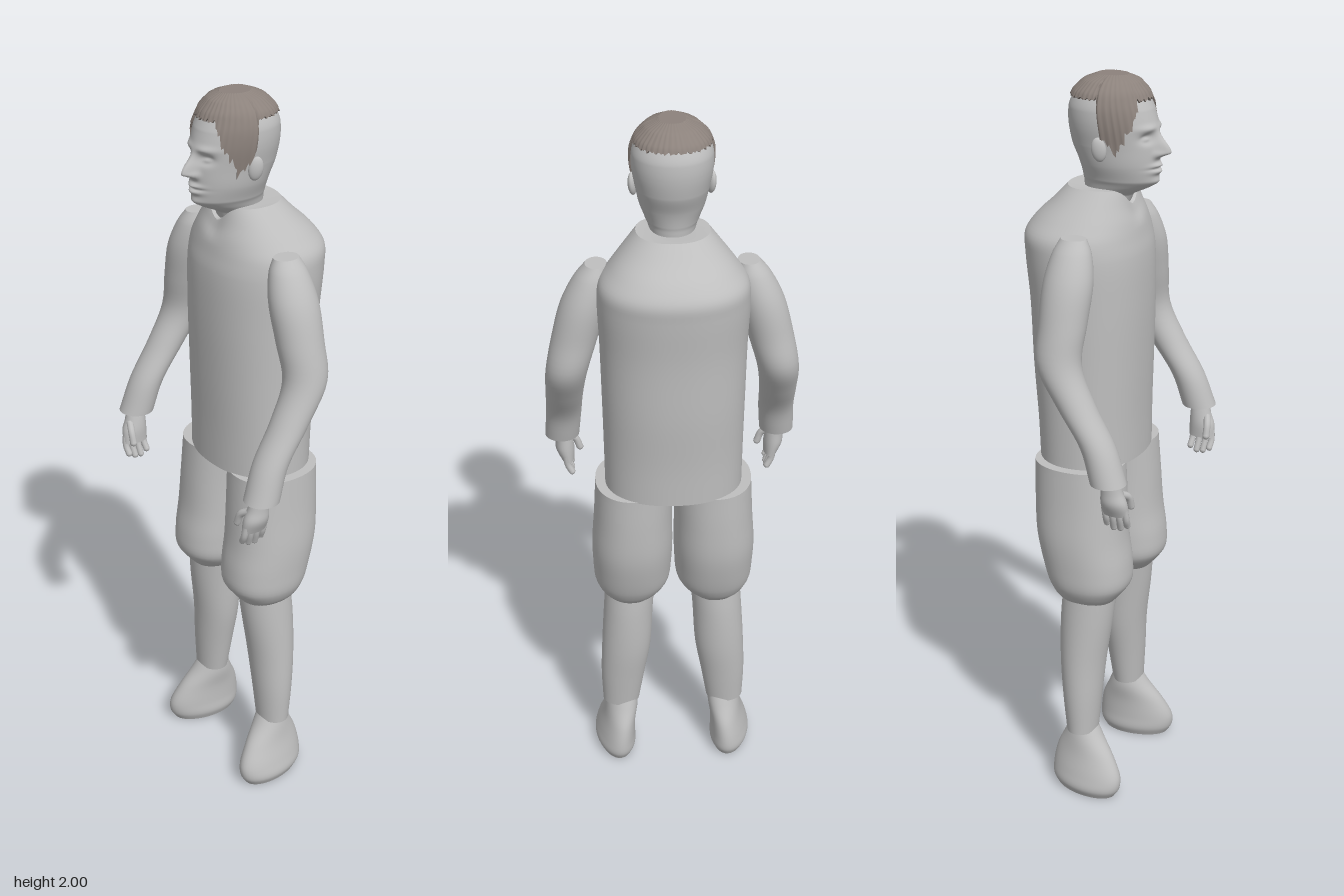
import * as THREE from 'three';

const grey = new THREE.MeshStandardMaterial({ color: 0xbfbfbf });
grey.name = 'plain grey';
const brown = new THREE.MeshStandardMaterial({ color: 0x8c827c, side: THREE.DoubleSide });
brown.name = 'hair brown';

// Joins rings of points (listed from bottom to top) into a smooth skin, with flat caps
function skin(rings, capped = true) {
  const n = rings[0].length, pos = [], index = [];
  rings.forEach(r => r.forEach(p => pos.push(p.x, p.y, p.z)));
  for (let i = 0; i < rings.length - 1; i++) {
    for (let j = 0; j < n; j++) {
      const a = i * n + j, b = i * n + (j + 1) % n;
      index.push(a, b, b + n, a, b + n, a + n);
    }
  }
  if (capped) {
    for (const [ring, up] of [[rings[0], false], [rings[rings.length - 1], true]]) {
      const start = pos.length / 3, c = new THREE.Vector3();
      ring.forEach(p => { pos.push(p.x, p.y, p.z); c.addScaledVector(p, 1 / n); });
      pos.push(c.x, c.y, c.z);
      for (let j = 0; j < n; j++) {
        const a = start + j, b = start + (j + 1) % n;
        index.push(start + n, up ? a : b, up ? b : a);
      }
    }
  }
  const g = new THREE.BufferGeometry();
  g.setAttribute('position', new THREE.Float32BufferAttribute(pos, 3));
  g.setIndex(index);
  g.computeVertexNormals();
  return g;
}

// Level sections [x, y, z, half width, half depth], smoothed along the part
function loft(rows, { side = 1, power = 2, rule = null, segments = 40 } = {}) {
  const list = rows[0][1] > rows[rows.length - 1][1] ? [...rows].reverse() : rows;
  const centre = new THREE.CatmullRomCurve3(list.map(r => new THREE.Vector3(r[0] * side, r[1], r[2])));
  const size = new THREE.CatmullRomCurve3(list.map(r => new THREE.Vector3(r[3], r[1], r[4])));
  const steps = (list.length - 1) * 5, rings = [];
  const round = v => Math.sign(v) * Math.abs(v) ** (2 / power);
  for (let i = 0; i <= steps; i++) {
    const c = centre.getPoint(i / steps), s = size.getPoint(i / steps), ring = [];
    for (let j = 0; j < segments; j++) {
      const a = j / segments * Math.PI * 2;
      const p = new THREE.Vector3(c.x + s.x * round(Math.sin(a)), c.y, c.z + s.z * round(Math.cos(a)));
      if (rule) rule(p);
      ring.push(p);
    }
    rings.push(ring);
  }
  return skin(rings);
}

function add(parent, name, geometry, material = grey) {
  const m = new THREE.Mesh(geometry, material);
  m.name = name;
  parent.add(m);
  return m;
}

// Head sections: height, half width, back, front
const headRows = [
  [1.66, .055, -.05, .06], [1.70, .055, -.052, .078], [1.722, .06, -.053, .122],
  [1.74, .068, -.055, .143], [1.78, .082, -.063, .146], [1.83, .092, -.083, .145],
  [1.88, .1, -.091, .141], [1.92, .1, -.09, .13], [1.96, .086, -.073, .11],
  [1.983, .06, -.047, .087], [1.995, .025, -.01, .055],
];
const headCurve = new THREE.CatmullRomCurve3(headRows.map(r => new THREE.Vector3(r[1], r[2], r[3])));

function headPoint(y, a, grow = 0) {
  let i = 0;
  while (i < headRows.length - 2 && y > headRows[i + 1][0]) i++;
  const t = (y - headRows[i][0]) / (headRows[i + 1][0] - headRows[i][0]);
  const s = headCurve.getPoint((i + t) / (headRows.length - 1));
  const c = Math.cos(a), mid = (s.y + s.z) / 2, half = (s.z - s.y) / 2 + grow;
  return new THREE.Vector3((s.x + grow) * Math.sin(a) * (1 - .12 * c), y, mid + half * c);
}

// Nose, brow, eye sockets, eyes and lips as soft bumps on the face
const bell = (v, c, w) => Math.exp(-(((v - c) / w) ** 2));
function sculptFace(p) {
  const x = Math.abs(p.x), y = p.y;
  p.z += .036 * bell(x, 0, .013) * bell(y, 1.816, y > 1.816 ? .036 : .012);
  p.z += .008 * bell(x, .015, .008) * bell(y, 1.81, .009);
  p.z += .006 * bell(x, .034, .026) * bell(y, 1.876, .009);
  p.z -= .014 * bell(x, .034, .017) * bell(y, 1.852, .012);
  p.z += .008 * bell(x, .034, .01) * bell(y, 1.85, .006);
  p.z += .01 * bell(x, 0, .024) * (bell(y, 1.781, .006) + bell(y, 1.766, .007));
  p.z -= .006 * bell(x, 0, .026) * bell(y, 1.774, .003);
  p.z += .006 * bell(x, 0, .022) * bell(y, 1.737, .012);
}

function makeHead() {
  const head = new THREE.Group();
  head.name = 'head';
  const rings = [], n = 120, low = 1.66, high = 1.995;
  for (let i = 0; i <= 120; i++) {
    const ring = [];
    for (let j = 0; j < n; j++) {
      const a = j / n * Math.PI * 2, p = headPoint(low + (high - low) * i / 120, a);
      if (Math.cos(a) > .2) sculptFace(p);
      ring.push(p);
    }
    rings.push(ring);
  }
  add(head, 'face', skin(rings));

  // Hair cap with a ragged hem: high on the brow and back, long at the temples
  const hair = [], m = 144;
  const hem = (a, j) => {
    const d = Math.abs(a > Math.PI ? a - 2 * Math.PI : a) * 180 / Math.PI;
    const rag = .006 * Math.sin(j * 2.4) + .004 * Math.sin(j * 1.3);
    if (d < 30) return 1.945 + rag * .6;
    if (d < 50) return 1.945 - (d - 30) / 20 * .07 + rag;
    if (d < 88) return 1.875 - .055 * bell(d, 72, 12) + rag * 1.6;
    return 1.95 + rag * .4;
  };
  for (let i = 0; i <= 16; i++) {
    const ring = [];
    for (let j = 0; j < m; j++) {
      const a = j / m * Math.PI * 2, b = hem(a, j);
      const p = headPoint(b + (1.994 - b) * Math.sin(i / 16 * Math.PI / 2), a, .006 + .0015 * Math.sin(j * 1.9));
      p.y += .006 * i / 16;
      ring.push(p);
    }
    hair.push(ring);
  }
  add(head, 'hair', skin(hair), brown);

  for (const s of [1, -1]) {
    const ear = add(head, 'ear', new THREE.SphereGeometry(1, 20, 14));
    ear.scale.set(.011, .031, .019);
    ear.position.set(s * .097, 1.828, .028);
    ear.rotation.set(-.15, s * -.35, s * -.1);
  }
  return head;
}

function makeArm(s) {
  const arm = new THREE.Group();
  arm.name = s > 0 ? 'leftArm' : 'rightArm';
  add(arm, 'sleeve', loft([
    [.193, 1.625, .005, .028, .034], [.203, 1.59, .005, .046, .05], [.225, 1.52, .005, .06, .064],
    [.252, 1.42, .003, .06, .062], [.276, 1.32, .003, .055, .058], [.285, 1.22, .055, .05, .05],
    [.29, 1.12, .118, .048, .045], [.297, 1.03, .15, .047, .047],
  ], { side: s }));
  // Hand hanging with the thumb to the front
  add(arm, 'palm', loft([
    [.297, 1.04, .155, .02, .026], [.293, 1.005, .158, .024, .03],
    [.291, .975, .163, .026, .036], [.284, .94, .165, .018, .036],
  ], { side: s, segments: 24 }));
  const digit = (name, points, r) => add(arm, name, new THREE.TubeGeometry(
    new THREE.CatmullRomCurve3(points.map(p => new THREE.Vector3(p[0] * s, p[1], p[2]))), 8, r, 10))
    && points.slice(-1).forEach(p => {
      add(arm, name + 'Tip', new THREE.SphereGeometry(r, 10, 8)).position.set(p[0] * s, p[1], p[2]);
    });
  for (let i = 0; i < 4; i++) {
    const z = .136 + i * .019, tip = [.908, .898, .9, .91][i];
    digit('finger', [[.29, .96, z], [.285, .93, z + .002], [.274, tip, z]], .009);
  }
  digit('thumb', [[.285, 1.0, .18], [.262, .985, .19], [.25, .955, .192]], .01);
  return arm;
}

function makeLeg(s) {
  const leg = new THREE.Group();
  leg.name = s > 0 ? 'leftLeg' : 'rightLeg';
  add(leg, 'breeches', loft([
    [.106, .99, -.022, .105, .122], [.11, .88, -.018, .107, .125], [.113, .78, -.012, .111, .125],
    [.114, .7, .002, .109, .122], [.115, .645, .01, .104, .113], [.118, .61, .008, .085, .092],
    [.12, .585, .008, .06, .07],
  ], { side: s, power: 2.2 }));
  add(leg, 'stocking', loft([
    [.12, .62, .012, .07, .075], [.127, .53, .005, .07, .073], [.135, .4, -.002, .07, .063],
    [.146, .29, 0, .063, .053], [.153, .185, .003, .053, .043],
  ], { side: s }));
  // Boot with the toe turned slightly outward
  add(leg, 'boot', loft([
    [.147, .2, .002, .042, .04], [.151, .165, .006, .046, .058], [.159, .115, .014, .047, .088],
    [.167, .06, .023, .054, .107], [.17, .025, .023, .058, .106], [.17, 0, .022, .048, .092],
  ], { side: s, rule: p => { p.x += s * p.z * .12; } }));
  return leg;
}

export function createModel() {
  const model = new THREE.Group();
  model.name = 'standingMan';
  // Long jacket with sloping shoulders and a dipped neckline
  add(model, 'jacket', loft([
    [0, .988, -.026, .184, .136], [0, 1.1, -.028, .185, .139], [0, 1.25, -.032, .187, .147],
    [0, 1.42, -.034, .19, .152], [0, 1.55, -.042, .194, .156], [0, 1.6, -.047, .188, .152],
    [0, 1.64, -.038, .16, .135], [0, 1.68, -.023, .127, .108], [0, 1.72, -.008, .093, .085],
  ], {
    power: 2.2, segments: 64,
    rule: p => { if (p.z > 0 && p.y > 1.62) p.y -= .045 * bell(p.x, 0, .04) * (p.y - 1.62) / .1; },
  }));
  model.add(makeHead());
  for (const s of [1, -1]) model.add(makeArm(s), makeLeg(s));
  return model;
}
